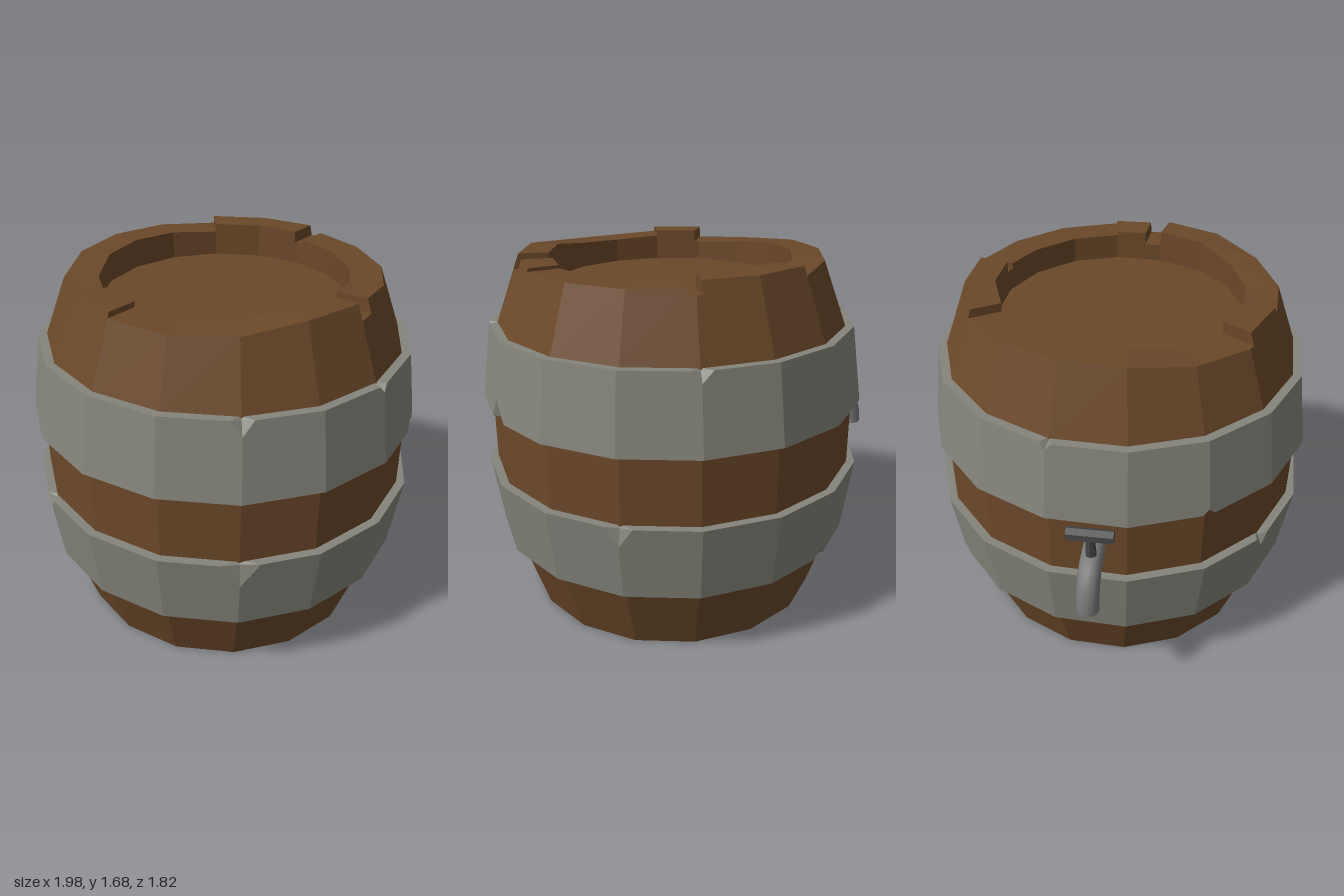
import * as THREE from 'three';

const SIDES = 16, CENTER_X = 0.085;
const wood = new THREE.MeshStandardMaterial({ color: 0x6b4829, flatShading: true });
const iron = new THREE.MeshStandardMaterial({ color: 0x85857c, flatShading: true });
const steel = new THREE.MeshStandardMaterial({ color: 0x7a7a7a });
const dark = new THREE.MeshStandardMaterial({ color: 0x484848, flatShading: true });

// Point on a 16-sided ring; k counts corners, fractions lie on the straight side
function ringPoint(k, r, y) {
  const a = Math.floor(k), f = k - a, step = (Math.PI * 2) / SIDES;
  const x = Math.cos(a * step) * (1 - f) + Math.cos((a + 1) * step) * f;
  const z = Math.sin(a * step) * (1 - f) + Math.sin((a + 1) * step) * f;
  return new THREE.Vector3(x * r, y, z * r);
}

// Skin a closed loop of stations { k, profile: [[r, y, pulled], ...] }
function loft(stations, closedProfile) {
  const pos = [];
  const tri = (...t) => {
    const area = t[1].clone().sub(t[0]).cross(t[2].clone().sub(t[0])).length();
    if (area > 1e-6) t.forEach((p) => pos.push(p.x, p.y, p.z));
  };
  stations.forEach((s, j) => {
    const n = stations[(j + 1) % stations.length];
    const rows = s.profile.length;
    for (let i = 0; i < (closedProfile ? rows : rows - 1); i++) {
      const m = (i + 1) % rows;
      const [a, b, c, d] = [[s, i], [s, m], [n, m], [n, i]].map(([q, e]) => ringPoint(q.k, q.profile[e][0], q.profile[e][1]));
      // the diagonal avoids pulled corners, so dents stay crisp
      if (s.profile[m][2] || n.profile[i][2]) { tri(a, b, c); tri(a, c, d); }
      else { tri(a, b, d); tri(b, c, d); }
    }
  });
  const g = new THREE.BufferGeometry();
  g.setAttribute('position', new THREE.Float32BufferAttribute(pos, 3));
  g.computeVertexNormals();
  return g;
}

function add(parent, name, geometry, material) {
  const mesh = new THREE.Mesh(geometry, material);
  mesh.name = name;
  parent.add(mesh);
  return mesh;
}

// Staves with a chipped rim: [corner, rim height], a repeated corner is a step
function barrelBody() {
  const rim = [
    [0, 1.68], [1, 1.68], [2, 1.65], [3, 1.64], [4, 1.65], [4, 1.675], [4.9, 1.675], [4.9, 1.62],
    [5, 1.62], [6, 1.635], [7, 1.66], [8, 1.665], [9, 1.66], [10, 1.645], [10, 1.685], [11, 1.685],
    [11.9, 1.685], [11.9, 1.63], [12, 1.63], [12.12, 1.63], [12.12, 1.655], [13, 1.65], [14, 1.65],
    [15, 1.65], [15, 1.665], [15.65, 1.67], [15.65, 1.61], [16, 1.61],
  ];
  return loft(rim.map(([k, h]) => ({
    k,
    profile: [
      [0, 0.16], [0.57, 0.16], [0.57, 0], [0.71, 0], [0.82, 0.335], [0.87, 0.69], [0.87, 1.01],
      [0.82, 1.365], [0.71 + (1.66 - h) * 0.37, h], [0.565, h], [0.565, 1.53], [0, 1.53],
    ],
  })), false);
}

// Iron hoop with V-shaped dents: { k, w: half width, d: depth, top }
function hoop(y0, r0, y1, r1, dents) {
  const ks = new Set([...Array(SIDES).keys()]);
  dents.forEach(({ k, w }) => [k - w, k, k + w].forEach((v) => ks.add((v + SIDES) % SIDES)));
  const rAt = (y) => r0 + ((r1 - r0) * (y - y0)) / (y1 - y0);
  const stations = [...ks].sort((a, b) => a - b).map((k) => {
    const top = dents.find((d) => d.k === k && d.top);
    const low = dents.find((d) => d.k === k && !d.top);
    const yl = y0 + (low ? low.d : 0.06), yh = y1 - (top ? top.d : 0.06);
    return {
      k,
      profile: [
        [r0 - 0.05, y0],
        low ? [r0 - 0.035, y0 + 0.01, true] : [r0, y0],
        [rAt(yl), yl], [rAt(yh), yh],
        top ? [r1 - 0.035, y1 - 0.01, true] : [r1, y1],
        [r1 - 0.05, y1],
      ],
    };
  });
  return loft(stations, true);
}

// Tap: bent spout, end caps, stem and turning handle, pointing along -x
function tap() {
  const group = new THREE.Group();
  group.name = 'tap';
  const V = (x, y) => new THREE.Vector3(x, y, 0);
  const path = new THREE.CurvePath();
  path.add(new THREE.LineCurve3(V(-0.83, 0.84), V(-0.92, 0.84)));
  path.add(new THREE.CubicBezierCurve3(V(-0.92, 0.84), V(-1.01, 0.835), V(-1.045, 0.78), V(-1.05, 0.665)));
  add(group, 'spout', new THREE.TubeGeometry(path, 12, 0.05, 12), steel);
  const outlet = add(group, 'spoutOutlet', new THREE.CircleGeometry(0.05, 12), steel);
  outlet.position.set(-1.05, 0.665, 0);
  outlet.rotation.x = Math.PI / 2;
  const inlet = add(group, 'spoutInlet', new THREE.CircleGeometry(0.05, 12), steel);
  inlet.position.set(-0.83, 0.84, 0);
  inlet.rotation.y = Math.PI / 2;
  const stem = add(group, 'handleStem', new THREE.CylinderGeometry(0.018, 0.026, 0.16, 8), dark);
  stem.position.set(-0.945, 0.93, 0);
  stem.rotation.z = 0.1;
  const bar = add(group, 'handleBar', new THREE.CylinderGeometry(0.03, 0.03, 0.2, 6), dark);
  bar.position.set(-0.955, 1.005, 0);
  bar.rotation.x = Math.PI / 2;
  group.rotation.y = 0.23;
  return group;
}

export function createModel() {
  const model = new THREE.Group();
  model.name = 'barrel';
  const barrel = new THREE.Group();
  barrel.name = 'barrelAssembly';
  barrel.position.x = CENTER_X;
  model.add(barrel);

  add(barrel, 'staves', barrelBody(), wood);
  add(barrel, 'lowerHoop', hoop(0.335, 0.86, 0.69, 0.91, [
    { k: 2, w: 0.25, d: 0.12, top: true }, { k: 5, w: 0.12, d: 0.06, top: true },
    { k: 13, w: 0.18, d: 0.09, top: true }, { k: 10, w: 0.15, d: 0.05, top: false },
  ]), iron);
  add(barrel, 'upperHoop', hoop(1.01, 0.91, 1.365, 0.86, [
    { k: 0, w: 0.08, d: 0.03, top: true }, { k: 2, w: 0.15, d: 0.065, top: true },
    { k: 8, w: 0.08, d: 0.03, top: true }, { k: 12, w: 0.15, d: 0.05, top: true },
    { k: 6, w: 0.08, d: 0.03, top: false }, { k: 15, w: 0.2, d: 0.1, top: false },
  ]), iron);
  barrel.add(tap());
  return model;
}
